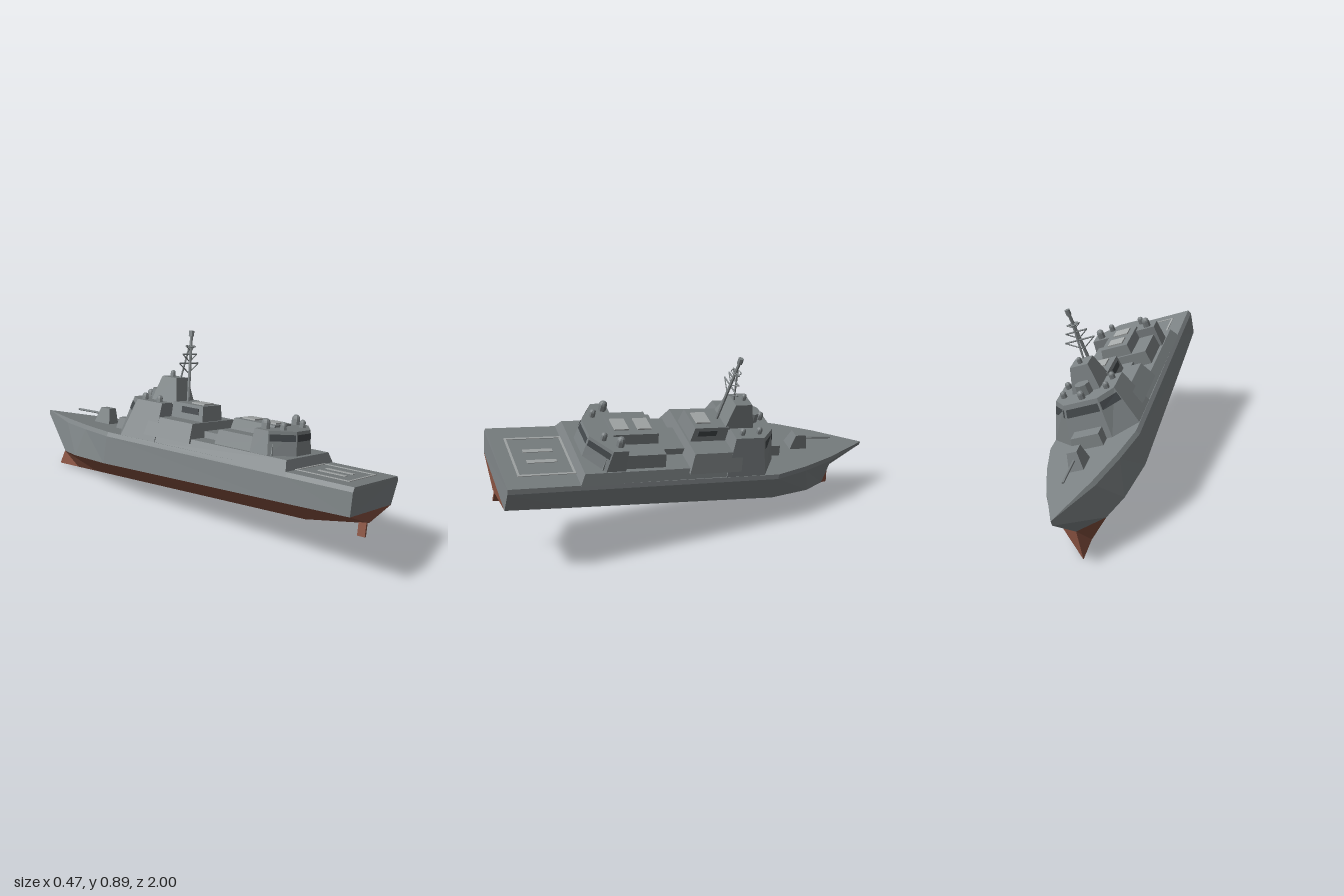
import * as THREE from 'three';

const mat = (color) => new THREE.MeshStandardMaterial({ color, flatShading: true, side: THREE.DoubleSide });

export function createModel() {
  const root = new THREE.Group();
  const ship = new THREE.Group();
  ship.name = 'ship';
  root.add(ship);
  const grey = mat(0x7c8284), red = mat(0x85503f), dark = mat(0x43484b), light = mat(0xa6aaaa);

  const add = (name, geo, m = grey, x = 0, y = 0, z = 0) => {
    const mesh = new THREE.Mesh(geo, m);
    mesh.name = name;
    mesh.position.set(x, y, z);
    ship.add(mesh);
    return mesh;
  };

  // Skin a list of equal-length rings and cap both ends
  const loft = (rings) => {
    const pos = [];
    const tri = (...p) => p.forEach((v) => pos.push(...v));
    const n = rings[0].length;
    for (let r = 0; r + 1 < rings.length; r++) {
      const a = rings[r], b = rings[r + 1];
      for (let i = 0; i < n; i++) {
        const j = (i + 1) % n;
        tri(a[i], a[j], b[j]);
        tri(a[i], b[j], b[i]);
      }
    }
    const first = rings[0], last = rings[rings.length - 1];
    for (let i = 1; i + 1 < n; i++) {
      tri(first[0], first[i + 1], first[i]);
      tri(last[0], last[i], last[i + 1]);
    }
    const geo = new THREE.BufferGeometry();
    geo.setAttribute('position', new THREE.Float32BufferAttribute(pos, 3));
    geo.computeVertexNormals();
    return geo;
  };

  // Half outline [x, z] from aft to forward, mirrored into a full ring at height y
  const ring = (half, y) => [
    ...half.map(([x, z]) => [x, y, z]),
    ...[...half].reverse().map(([x, z]) => [-x, y, z]),
  ];
  const block = (name, low, high, y0, y1, m) => add(name, loft([ring(low, y0), ring(high, y1)]), m);
  const taper = (name, [w0, a0, f0], [w1, a1, f1], y0, y1) =>
    block(name, [[w0, a0], [w0, f0]], [[w1, a1], [w1, f1]], y0, y1);

  // Window panes laid on chosen faces of a tapered block
  const windows = (name, low, high, y0, y1, t0, t1, edges) => {
    const a = ring(low, y0).map((p) => new THREE.Vector3(...p));
    const b = ring(high, y1).map((p) => new THREE.Vector3(...p));
    for (const e of edges) {
      const f = (e + 1) % a.length;
      const at = (u, t) => a[e].clone().lerp(a[f], u).lerp(b[e].clone().lerp(b[f], u), t);
      const c = [at(0.04, t0), at(0.96, t0), at(0.96, t1), at(0.04, t1)];
      const out = c[1].clone().sub(c[0]).cross(c[3].clone().sub(c[0])).normalize().multiplyScalar(0.002);
      c.forEach((p) => p.add(out));
      const geo = new THREE.BufferGeometry().setFromPoints([c[0], c[1], c[2], c[0], c[2], c[3]]);
      geo.computeVertexNormals();
      add(name, geo, dark);
    }
  };

  const rod = (name, from, to, r, m = grey, sides = 6) => {
    const p = new THREE.Vector3(...from), q = new THREE.Vector3(...to);
    const mesh = add(name, new THREE.CylinderGeometry(r, r, p.distanceTo(q), sides), m);
    mesh.position.copy(p).lerp(q, 0.5);
    mesh.quaternion.setFromUnitVectors(new THREE.Vector3(0, 1, 0), q.sub(p).normalize());
  };

  // Hull stations, bow to stern: deck z, half beam | waterline z, half beam, y | keel z, y
  const stations = [
    [-1.005, 0, -0.854, 0, -0.16, -0.896, -0.276],
    [-0.75, 0.118, -0.76, 0.11, -0.175, -0.76, -0.273],
    [-0.56, 0.182, -0.635, 0.165, -0.17, -0.63, -0.27],
    [-0.37, 0.23, -0.395, 0.21, -0.162, -0.395, -0.265],
    [0.67, 0.222, 0.67, 0.203, -0.138, 0.67, -0.241],
    [0.998, 0.22, 0.988, 0.2, -0.13, 0.985, -0.186],
  ];
  add('upperHull', loft(stations.map(([z, w, zw, ww, yw]) => {
    const d = Math.max(0, w - 0.01);
    return [[d, 0.003, z], [-d, 0.003, z], [-w, -0.018, z], [-ww, yw, zw], [ww, yw, zw], [w, -0.018, z]];
  })));
  add('lowerHull', loft(stations.map(([, , zw, ww, yw, zk, yk]) =>
    [[ww, yw, zw], [-ww, yw, zw], [0, yk, zk]])), red);
  add('rudder', new THREE.BoxGeometry(0.012, 0.075, 0.038), red, 0, -0.215, 0.957);

  // Landing pad outline and stripes
  for (const s of [-1, 1]) {
    add('padSideLine', new THREE.BoxGeometry(0.01, 0.003, 0.27), light, s * 0.127, 0.005, 0.798);
    add('padEndLine', new THREE.BoxGeometry(0.264, 0.003, 0.01), light, 0, 0.005, 0.798 + s * 0.13);
    add('padStripe', new THREE.BoxGeometry(0.02, 0.003, 0.14), light, s * 0.037, 0.005, 0.798);
  }

  // Long deckhouse and hangar
  taper('deckhouse', [0.215, 0.665, -0.12], [0.19, 0.648, -0.12], 0, 0.05);
  taper('hangar', [0.172, 0.56, 0.245], [0.16, 0.55, 0.255], 0.05, 0.118);
  taper('hangarRoof', [0.08, 0.5, 0.265], [0.072, 0.5, 0.275], 0.118, 0.17);
  taper('midHousing', [0.085, 0.26, 0.1], [0.08, 0.26, 0.1], 0.05, 0.08);
  const aftLow = [[0.065, 0.625], [0.185, 0.545], [0.185, 0.45]];
  const aftHigh = [[0.06, 0.612], [0.176, 0.532], [0.176, 0.458]];
  block('aftControlRoom', aftLow, aftHigh, 0.05, 0.16);
  windows('aftWindow', aftLow, aftHigh, 0.05, 0.16, 0.58, 0.86, [0, 4, 5]);
  for (const z of [0.335, 0.45]) add('roofHatch', new THREE.BoxGeometry(0.08, 0.008, 0.07), light, 0, 0.173, z);

  // Forward superstructure and bridge
  taper('forwardHouse', [0.212, 0.128, -0.15], [0.172, 0.11, -0.15], 0.03, 0.12);
  const bridgeLow = [[0.218, -0.075], [0.218, -0.29], [0.105, -0.385]];
  const bridgeHigh = [[0.15, -0.1], [0.15, -0.255], [0.085, -0.33]];
  block('bridge', bridgeLow, bridgeHigh, 0, 0.185);
  windows('bridgeWindow', bridgeLow, bridgeHigh, 0, 0.185, 0.68, 0.88, [1, 2, 3]);
  taper('bridgeStep', [0.078, -0.36, -0.445], [0.07, -0.34, -0.432], 0, 0.06);
  taper('funnel', [0.08, 0.1, -0.09], [0.074, 0.092, -0.09], 0.12, 0.195);
  add('funnelHatch', new THREE.BoxGeometry(0.08, 0.008, 0.075), light, 0, 0.198, 0.035);
  for (const s of [-1, 1]) add('funnelGrille', new THREE.BoxGeometry(0.004, 0.03, 0.1), dark, s * 0.078, 0.165, 0.02);

  // Mast tower, poles and yards
  taper('mastTower', [0.072, -0.07, -0.23], [0.046, -0.105, -0.195], 0.18, 0.305);
  rod('mastPole', [0, 0.19, -0.055], [0, 0.53, -0.073], 0.008);
  rod('mastStay', [0, 0.3, -0.115], [0, 0.47, -0.078], 0.005);
  rod('mastCap', [0, 0.515, -0.073], [0, 0.543, -0.073], 0.013, grey, 8);
  for (const [y, w] of [[0.383, 0.076], [0.427, 0.056], [0.466, 0.033]]) {
    rod('yard', [-w, y, -0.072], [w, y, -0.072], 0.004);
    for (const s of [-1, 1]) rod('yardBrace', [s * w, y, -0.072], [0, y - w * 0.65, -0.069], 0.003);
  }
  const hoop = add('mastRing', new THREE.TorusGeometry(0.024, 0.003, 4, 10), grey, 0, 0.466, -0.072);
  hoop.rotation.x = Math.PI / 2;

  // Sensor domes
  const dome = (x, y, z, r, h) => {
    add('domeBase', new THREE.CylinderGeometry(r, r, h, 8), grey, x, y + h / 2, z);
    add('dome', new THREE.SphereGeometry(r, 8, 4, 0, Math.PI * 2, 0, Math.PI / 2), grey, x, y + h, z);
  };
  for (const s of [-1, 1]) {
    dome(s * 0.132, 0.16, 0.488, 0.02, 0.028);
    dome(s * 0.085, 0.16, 0.553, 0.015, 0.022);
    dome(s * 0.11, 0.185, -0.24, 0.015, 0.018);
    dome(s * 0.115, 0.185, -0.145, 0.015, 0.018);
  }
  dome(0, 0.185, -0.295, 0.017, 0.022);
  add('directorDrum', new THREE.CylinderGeometry(0.036, 0.04, 0.05, 8), grey, 0, 0.21, -0.24);
  dome(0, 0.3, -0.165, 0.012, 0.025);

  // Foredeck gun
  taper('gunMount', [0.036, -0.53, -0.635], [0.024, -0.545, -0.605], 0, 0.082);
  rod('gunBarrel', [0, 0.047, -0.6], [0, 0.043, -0.785], 0.006);

  // Heeled, bow-down attitude
  ship.rotation.set(-0.142, 0, -0.34);
  ship.position.set(0.005, 0.385, -0.005);
  return root;
}
